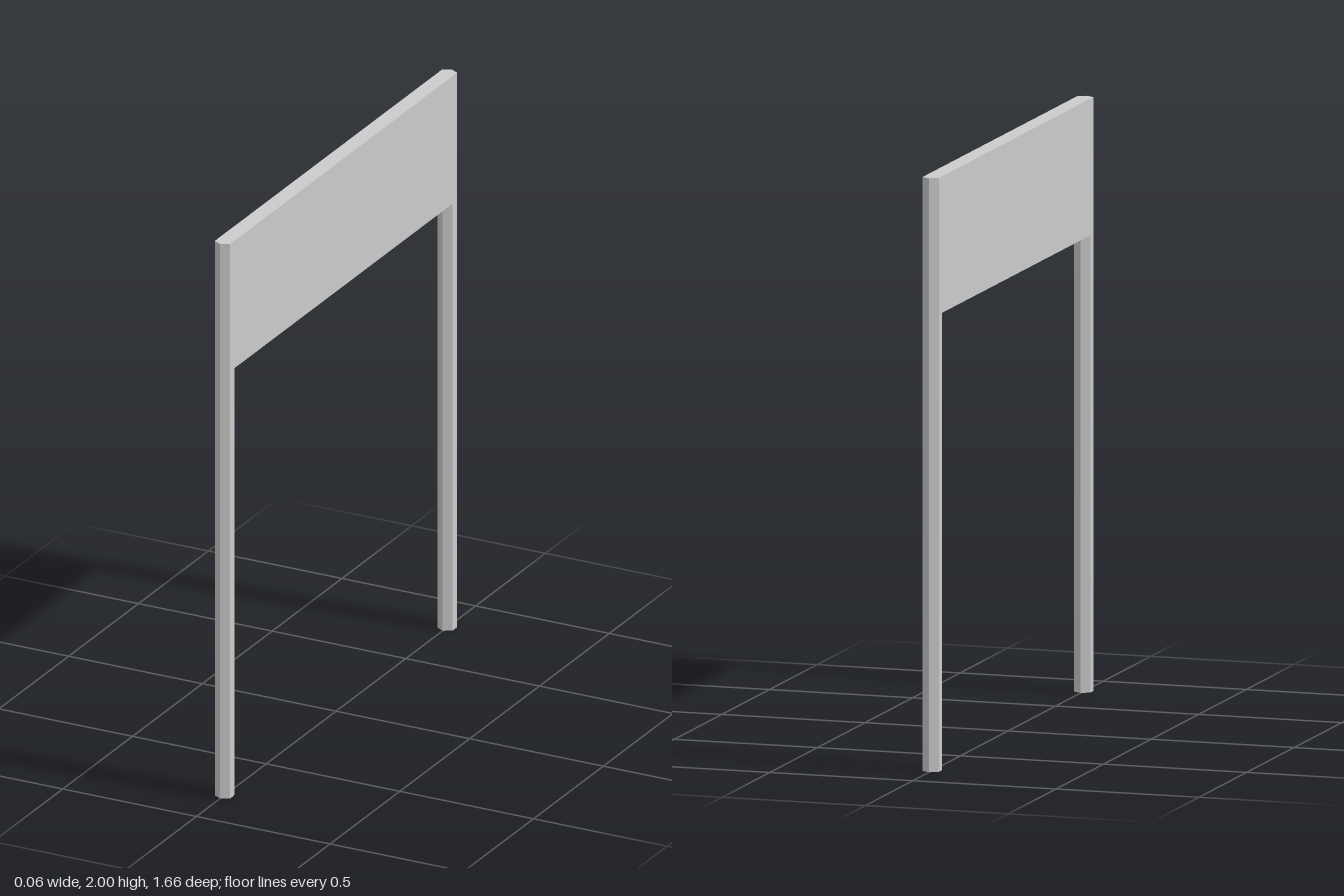
import * as THREE from 'three';

export function createModel() {
  const group = new THREE.Group();
  group.name = 'signFrame';
  const material = new THREE.MeshStandardMaterial({ color: 0xcccccc, flatShading: true });

  const height = 2;
  const radius = 0.033;                         // hexagonal post, a corner facing ±z
  const postZ = 0.83 - radius;
  const thickness = radius * Math.sqrt(3);      // board is flush with the flats of the posts
  const boardBottom = 1.54;

  // Posts, front and back
  const postGeometry = new THREE.CylinderGeometry(radius, radius, height, 6);
  for (const [name, side] of [['frontPost', 1], ['backPost', -1]]) {
    const post = new THREE.Mesh(postGeometry, material);
    post.name = name;
    post.position.set(0, height / 2, side * postZ);
    group.add(post);
  }

  // Board, meeting the inner edges of the post flats
  const boardHeight = height - boardBottom;
  const boardLength = 2 * (postZ - radius / 2);
  const board = new THREE.Mesh(new THREE.BoxGeometry(thickness, boardHeight, boardLength), material);
  board.name = 'board';
  board.position.y = boardBottom + boardHeight / 2;
  group.add(board);

  return group;
}
